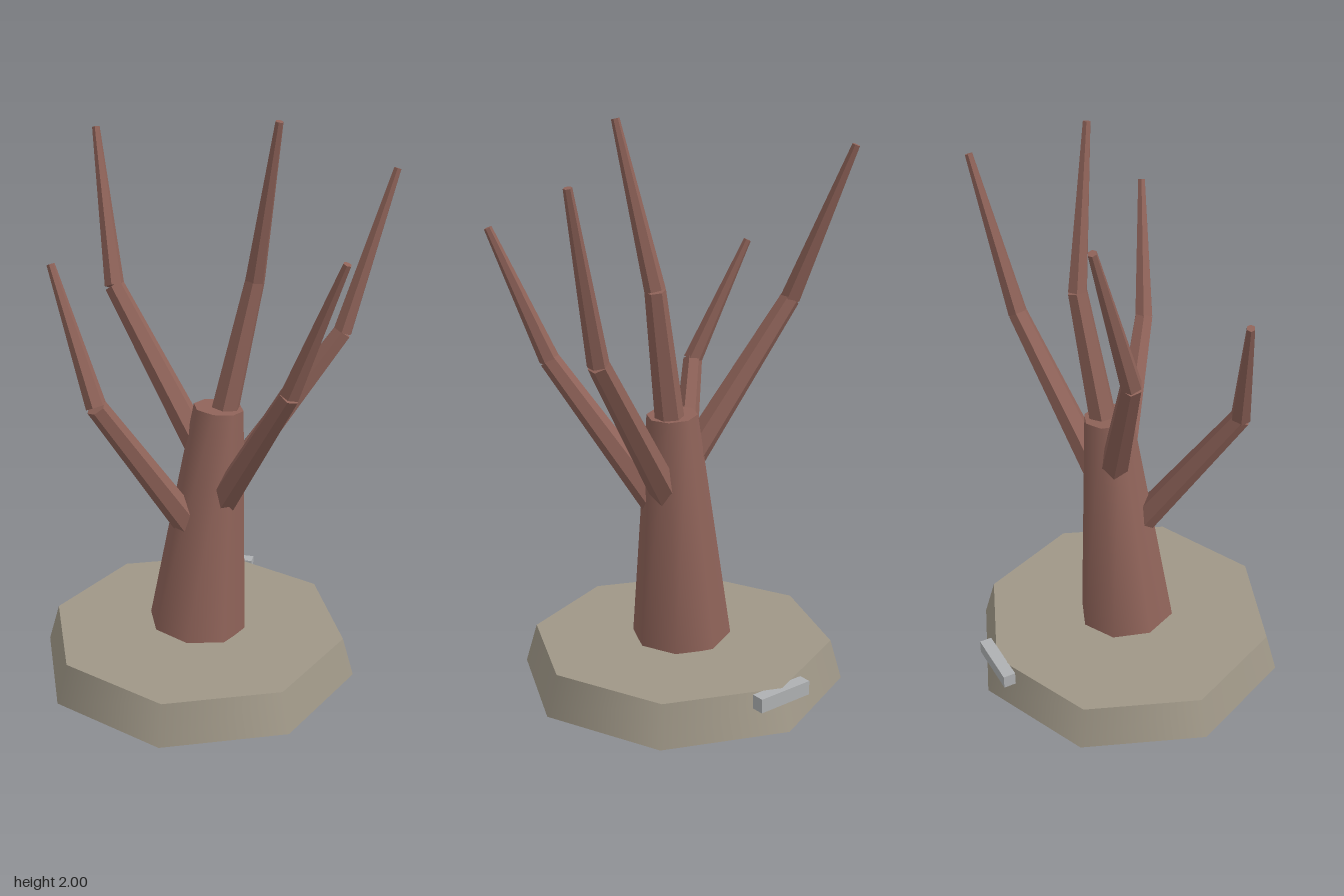
import * as THREE from 'three';

const V = (x, y, z) => new THREE.Vector3(x, y, z);

// tapered round bar between two points
function taper(name, a, b, ra, rb, sides, material, flat) {
  let geo = new THREE.CylinderGeometry(rb, ra, a.distanceTo(b), sides);
  if (flat) {
    geo = geo.toNonIndexed();
    geo.computeVertexNormals();
  }
  const mesh = new THREE.Mesh(geo, material);
  mesh.name = name;
  mesh.position.copy(a).add(b).multiplyScalar(0.5);
  mesh.quaternion.setFromUnitVectors(V(0, 1, 0), b.clone().sub(a).normalize());
  return mesh;
}

export function createModel() {
  const model = new THREE.Group();
  model.name = 'bareTree';
  const bark = new THREE.MeshStandardMaterial({ color: 0x8f6359 });
  bark.name = 'bark brown';
  const stone = new THREE.MeshStandardMaterial({ color: 0x9f9787 });
  stone.name = 'stone';
  const metal = new THREE.MeshStandardMaterial({ color: 0xaeb0b2 });
  metal.name = 'light grey';

  // octagonal pedestal
  model.add(taper('pedestal', V(-0.033, 0, 0), V(-0.033, 0.145, 0), 0.588, 0.546, 8, stone));

  // leaning trunk
  model.add(taper('trunk', V(-0.033, 0.155, 0), V(0.037, 1.0, -0.035), 0.18, 0.09, 8, bark));

  // branches: start inside the trunk, elbow, tip
  const branches = [
    ['rearLeftBranch', V(0.02, 0.64, -0.03), V(0.445, 1.26, -0.185), V(0.6, 1.82, -0.27)],
    ['frontLeftBranch', V(0.02, 0.58, -0.02), V(0.335, 1.18, 0.275), V(0.51, 1.64, 0.36)],
    ['frontRightBranch', V(0.0, 0.46, -0.01), V(-0.31, 1.09, 0.285), V(-0.485, 1.54, 0.18)],
    ['rearRightBranch', V(0.02, 0.75, -0.03), V(-0.375, 1.38, -0.175), V(-0.485, 1.91, -0.36)],
    ['topBranch', V(0.03, 0.85, -0.035), V(0.15, 1.45, -0.09), V(0.238, 2.0, 0)],
  ];
  for (const [name, start, elbow, tip] of branches) {
    const branch = new THREE.Group();
    branch.name = name;
    branch.add(taper('lowerLimb', start, elbow, 0.056, 0.036, 6, bark, true));
    branch.add(taper('upperLimb', elbow, tip, 0.036, 0.014, 6, bark, true));
    model.add(branch);
  }

  // small plate at the back of the pedestal
  const plate = new THREE.Mesh(new THREE.BoxGeometry(0.215, 0.05, 0.045), metal);
  plate.name = 'backPlate';
  plate.position.set(-0.033, 0.12, -0.543);
  model.add(plate);

  return model;
}
